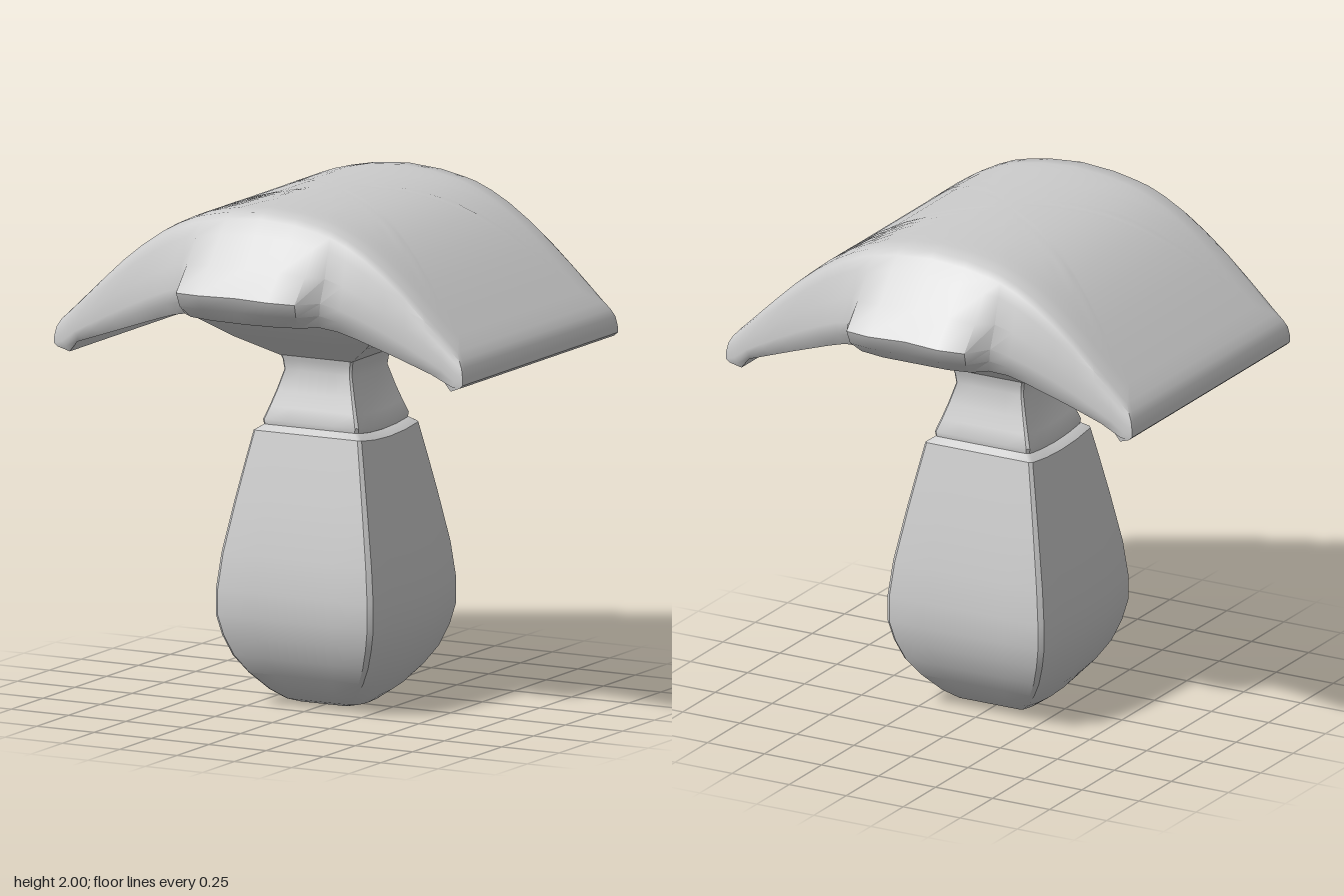
import * as THREE from 'three';
import { toCreasedNormals } from 'three/addons/utils/BufferGeometryUtils.js';

const material = new THREE.MeshStandardMaterial({ color: 0xcccccc, side: THREE.DoubleSide });

// Piecewise-linear lookup in a list of [position, value]
function lookup(table, x) {
  const a = Math.abs(x);
  for (let i = 1; i < table.length; i++) {
    const [x0, y0] = table[i - 1], [x1, y1] = table[i];
    if (a <= x1) return y0 + (y1 - y0) * (a - x0) / (x1 - x0);
  }
  return table[table.length - 1][1];
}

// Skin closed rings of [x, y, z], listed from bottom to top
function loft(name, rings, crease) {
  const n = rings[0].length, index = [];
  for (let i = 0; i < rings.length - 1; i++) {
    for (let j = 0; j < n; j++) {
      const a = i * n + j, b = i * n + (j + 1) % n;
      index.push(a, b, b + n, a, b + n, a + n);
    }
  }
  const geometry = new THREE.BufferGeometry();
  geometry.setAttribute('position', new THREE.Float32BufferAttribute(rings.flat(2), 3));
  geometry.setIndex(index);
  const mesh = new THREE.Mesh(toCreasedNormals(geometry, crease), material);
  mesh.name = name;
  return mesh;
}

// Outline of a unit square, counter-clockwise from above; steps run from 0 to 1
function squareOutline(steps) {
  const side = [...steps.slice(1).reverse().map(s => -s), ...steps].slice(0, -1);
  return [
    ...side.map(s => [1, -s]),
    ...side.map(s => [-s, -1]),
    ...side.map(s => [-1, s]),
    ...side.map(s => [s, 1])
  ];
}

// Square column from a profile of [y, half width]; the left and right faces sag
function squareColumn(name, profile, sag) {
  const outline = squareOutline([0, 0.5, 0.95, 1]);
  const rings = profile.map(([y, h]) => outline.map(([sx, sz]) => {
    const corner = Math.abs(sx) + Math.abs(sz) > 1.99 ? 0.975 : 1;
    const drop = Math.abs(sx) > 0.96 ? sag * (1 - sz * sz) * Math.min(1, h / 0.2) : 0;
    return [sx * h * corner, Math.max(0, y - drop), sz * h * corner];
  }));
  return loft(name, rings, 0.6);
}

// Height of the vaulted cap, its lower edge, and the front and back lip overhang, by x
const capTop = [[0, 2], [0.1, 1.995], [0.2, 1.98], [0.3, 1.953], [0.4, 1.91], [0.5, 1.845],
  [0.6, 1.765], [0.7, 1.672], [0.8, 1.575], [0.89, 1.49]];
const capBottom = [[0, 1.58], [0.3, 1.59], [0.4, 1.56], [0.6, 1.49], [0.8, 1.42], [0.83, 1.38]];
const lip = [[0, 0.185], [0.15, 0.205], [0.26, 0.18], [0.31, 0.075], [0.4, 0.045], [0.6, 0.012], [0.85, 0]];

function makeCap() {
  const outline = squareOutline([0, 0.17, 0.29, 0.35, 0.43, 0.52, 0.62, 0.72, 0.82, 0.9, 0.96, 1]);
  const rings = [];
  const ring = (hx, hz, overhang, height) => rings.push(outline.map(([sx, sz]) => {
    const x = sx * hx;
    const bulge = Math.abs(sz) === 1 ? overhang * lookup(lip, x) : 0;
    return [x, height(x), sz * (hz + bulge)];
  }));

  // Gill funnel and hollow underside
  ring(0.155, 0.155, 0, () => 1.355);
  ring(0.29, 0.29, 0, () => 1.44);
  ring(0.42, 0.42, 0, () => 1.54);
  ring(0.55, 0.49, 0, x => lookup(capBottom, x) + 0.07);
  ring(0.68, 0.54, 0, x => lookup(capBottom, x) + 0.08);

  // Rolled rim: [half width, half depth, overhang, drop from top to lower edge]
  const rim = [
    [0.79, 0.56, 0, 0.75], [0.8, 0.575, 0.2, 0.92], [0.83, 0.595, 0.6, 1], [0.875, 0.61, 0.9, 0.86],
    [0.89, 0.612, 1, 0.72], [0.89, 0.61, 0.55, 0.47], [0.883, 0.605, 0.18, 0.2],
    [0.868, 0.595, 0, 0.07], [0.845, 0.57, 0, 0.015]
  ];
  for (const [hx, hz, overhang, f] of rim) {
    ring(hx, hz, overhang, x => THREE.MathUtils.lerp(lookup(capTop, x), lookup(capBottom, x), f));
  }

  // Vaulted crown, closing towards the middle
  for (let t = 9; t >= 0; t--) ring(0.08 * t + 0.08 * t / 9, 0.055 * t, 0, x => lookup(capTop, x));
  return loft('cap', rings, 0.8);
}

export function createModel() {
  const group = new THREE.Group();
  group.name = 'mushroom';

  // Bulbous square foot
  group.add(squareColumn('stemBulb', [
    [0.005, 0], [0.005, 0.1], [0.02, 0.14], [0.06, 0.19], [0.13, 0.25], [0.2, 0.295], [0.28, 0.325],
    [0.36, 0.343], [0.46, 0.343], [0.6, 0.327], [0.8, 0.29], [0.95, 0.26], [1.07, 0.235],
    [1.095, 0.2], [1.095, 0]
  ], 0.02));

  // Flared collar and narrow neck
  group.add(squareColumn('stemNeck', [
    [1.085, 0], [1.085, 0.195], [1.09, 0.205], [1.11, 0.208], [1.16, 0.19], [1.22, 0.17],
    [1.3, 0.147], [1.34, 0.152], [1.38, 0.165]
  ], 0.015));

  group.add(makeCap());
  return group;
}
